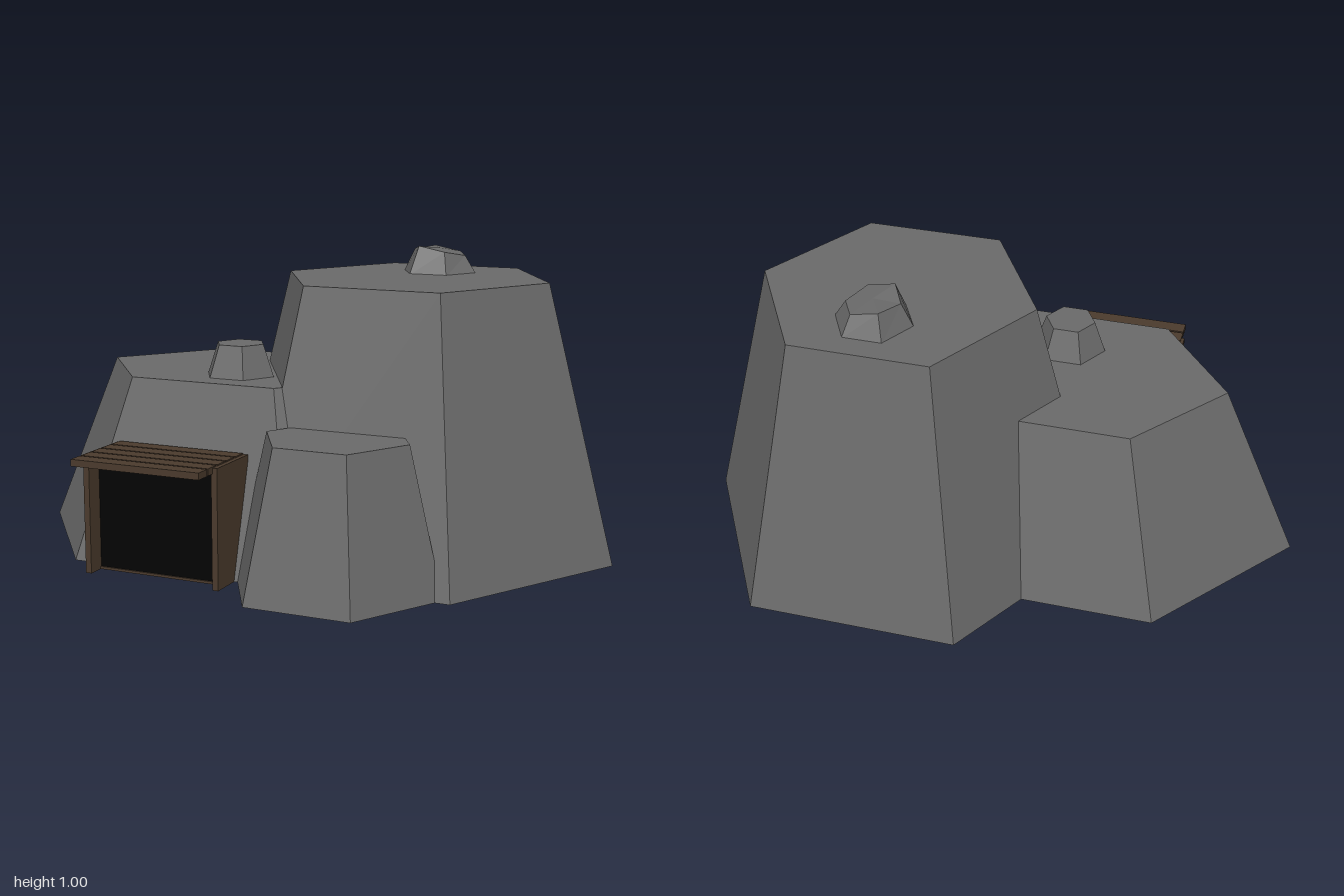
import * as THREE from 'three';

const paint = (color) => new THREE.MeshStandardMaterial({ color, flatShading: true });
const stone = paint(0x6a6a6a);
const wood = paint(0x4b3b2d);
const darkWood = paint(0x32261c);
const black = paint(0x030303);

export function createModel() {
  const group = new THREE.Group();

  const add = (name, geometry, material, x, y, z) => {
    const mesh = new THREE.Mesh(geometry, material);
    mesh.name = name;
    mesh.position.set(x, y, z);
    group.add(mesh);
    return mesh;
  };

  // six-sided tapered block with corners on the x axis, standing on y
  const hexBlock = (name, x, y, z, bottom, top, height, depth = 1) => {
    const g = new THREE.CylinderGeometry(top, bottom, height, 6, 1, false, Math.PI / 2);
    g.translate(0, height / 2, 0);
    // depth squashes bottom and top together along z
    g.scale(1, 1, depth);
    return add(name, g, stone, x, y, z);
  };

  const box = (name, material, x0, x1, y0, y1, z0, z1) =>
    add(name, new THREE.BoxGeometry(x1 - x0, y1 - y0, z1 - z0), material,
      (x0 + x1) / 2, (y0 + y1) / 2, (z0 + z1) / 2);

  // three merging mounds
  hexBlock('tallMound', 0.312, 0, -0.14, 0.688, 0.454, 0.905);
  hexBlock('wideMound', -0.23, 0, 0.02, 0.77, 0.51, 0.59, 0.74);
  hexBlock('smallMound', 0.276, 0, 0.428, 0.348, 0.237, 0.47);

  // chimneys, the upper one with a crooked, sloping top
  hexBlock('lowerChimney', -0.185, 0.585, 0.158, 0.122, 0.083, 0.11);
  const upper = hexBlock('upperChimney', 0.327, 0.9, -0.332, 0.13, 0.09, 0.09, 1.06);
  const p = upper.geometry.attributes.position;
  for (let i = 0; i < p.count; i++) {
    if (p.getY(i) > 0.05) {
      p.setY(i, 0.093 - Math.abs(p.getX(i) + 0.035) * 0.25 + p.getZ(i) * 0.06);
    }
  }
  upper.geometry.computeVertexNormals();

  // doorway with threshold and side boards
  box('doorOpening', black, -0.495, -0.05, 0.008, 0.37, 0.4, 0.56);
  box('doorThreshold', wood, -0.495, -0.05, 0, 0.008, 0.4, 0.565);
  for (const x of [-0.508, -0.055]) {
    box('doorSideBoard', wood, x, x + 0.02, 0, 0.385, 0.41, 0.62);
  }

  // plank canopy
  box('canopyBase', darkWood, -0.49, -0.055, 0.367, 0.38, 0.4, 0.7);
  for (let i = 0; i < 5; i++) {
    const z = 0.415 + i * 0.06;
    box('canopyPlank', wood, -0.497, -0.05, 0.367, 0.389, z, z + 0.053);
  }

  return group;
}
